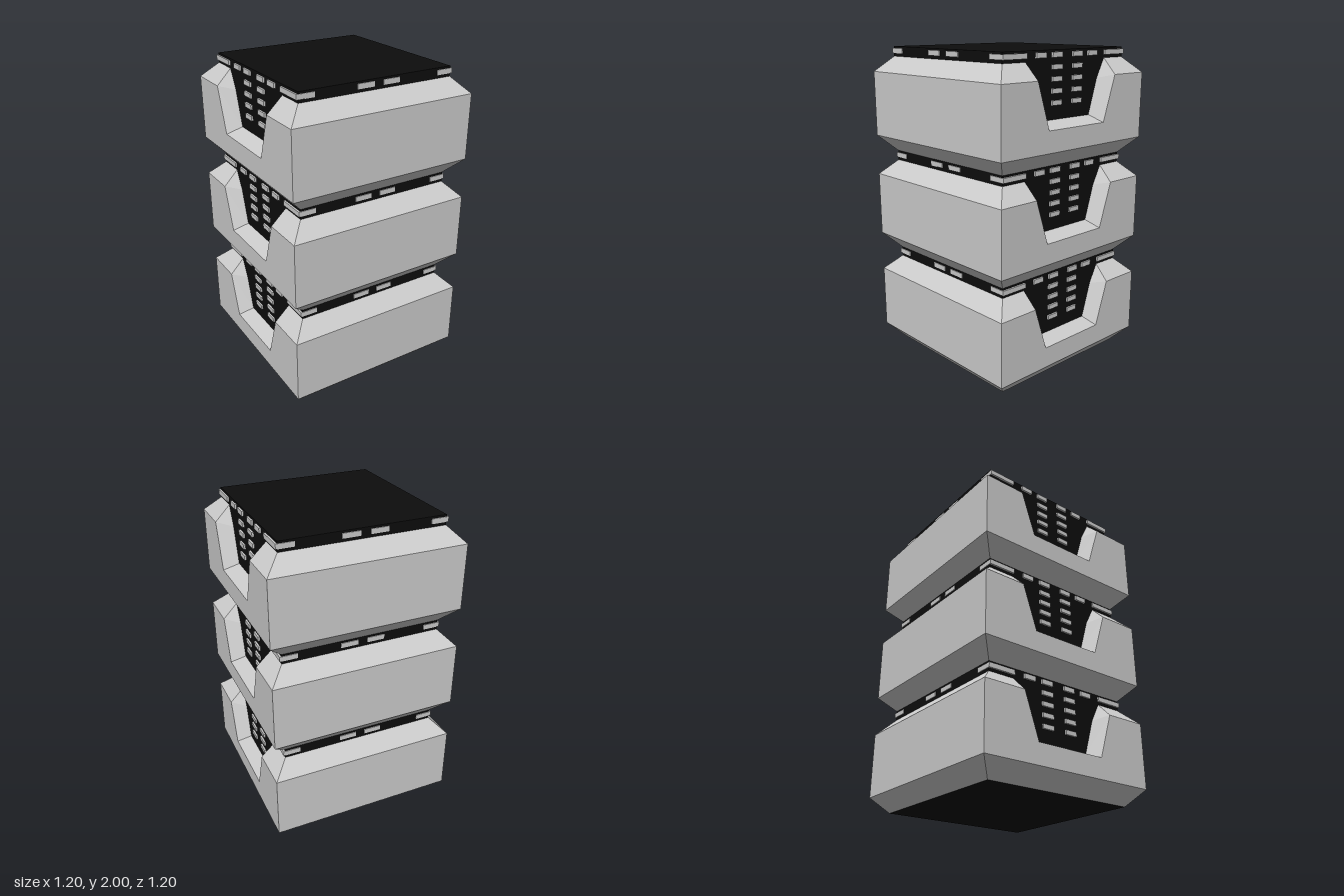
import * as THREE from 'three';

const PITCH = 2 / 3, CORE = 0.505, OUT = 0.6;
const grey = new THREE.MeshStandardMaterial({ color: 0xcccccc, flatShading: true });
const black = new THREE.MeshStandardMaterial({ color: 0x0d0d0d });

// Bevelled cladding of one tier: a quarter described as convex fans, mirrored to four quadrants
function claddingGeometry() {
  const profile = [[CORE, 0], [OUT, 0.1], [OUT, 0.51], [CORE, 0.605]];
  const rimOuter = [OUT, 0.51, 0.328], footOuter = [OUT, 0.23, 0.235];
  const rimInner = [CORE, 0.605, 0.333], kneeInner = [CORE, 0.487, 0.272], footInner = [CORE, 0.27, 0.205];
  const faces = [
    // side wall around the notch, lower and upper bevels
    [footOuter, rimOuter, [OUT, 0.51, OUT], [OUT, 0.1, OUT], [OUT, 0.1, 0], [OUT, 0.23, 0]],
    [[CORE, 0, CORE], [CORE, 0, 0], [OUT, 0.1, 0], [OUT, 0.1, OUT]],
    [[OUT, 0.51, OUT], rimOuter, rimInner, [CORE, 0.605, CORE]],
    // sloping notch walls and sill
    [rimOuter, footOuter, footInner, kneeInner],
    [rimOuter, kneeInner, rimInner],
    [footOuter, [OUT, 0.23, 0], [CORE, 0.27, 0], footInner],
  ];
  // front wall and bevels
  for (let i = 0; i < 3; i++) {
    const [r0, y0] = profile[i], [r1, y1] = profile[i + 1];
    faces.push([[0, y0, r0], [r0, y0, r0], [r1, y1, r1], [0, y1, r1]]);
  }
  const pos = [];
  for (const sx of [1, -1]) for (const sz of [1, -1]) for (const face of faces) {
    const f = face.map(([x, y, z]) => [x * sx, y, z * sz]);
    for (let i = 1; i < f.length - 1; i++) {
      const tri = sx * sz > 0 ? [f[0], f[i], f[i + 1]] : [f[0], f[i + 1], f[i]];
      pos.push(...tri.flat());
    }
  }
  const geo = new THREE.BufferGeometry();
  geo.setAttribute('position', new THREE.Float32BufferAttribute(pos, 3));
  geo.computeVertexNormals();
  return geo;
}

function addBox(parent, name, size, at) {
  const mesh = new THREE.Mesh(new THREE.BoxGeometry(...size), grey);
  mesh.position.set(...at);
  mesh.name = name;
  parent.add(mesh);
}

// Lit windows of one tier, mirrored about both axes
function createWindows() {
  const group = new THREE.Group();
  group.name = 'windows';
  const y = 0.639, h = 0.03, t = 0.03;
  for (const s of [1, -1]) for (const m of [1, -1]) {
    // front and back band: [inner, outer] spans along x
    for (const [a, b] of [[0.03, 0.14], [0.408, 0.516]])
      addBox(group, 'bandWindow', [b - a, h, t], [m * (a + b) / 2, y, s * (CORE + 0.005 - t / 2)]);
    // side band: spans along z
    for (const [a, b] of [[0.045, 0.127], [0.178, 0.258], [0.329, 0.509]])
      addBox(group, 'sideBandWindow', [t, h, b - a], [s * (CORE + 0.012 - t / 2), y, m * (a + b) / 2]);
    // stacked windows inside the notch
    for (let row = 1; row <= 4; row++)
      addBox(group, 'notchWindow', [t, 0.028, 0.082],
        [s * (CORE + 0.012 - t / 2), y - row * 0.068, m * 0.086]);
  }
  return group;
}

export function createModel() {
  const model = new THREE.Group();
  model.name = 'tower';

  // dark glazed core running the full height
  const core = new THREE.Mesh(new THREE.BoxGeometry(CORE * 2, 2, CORE * 2), black);
  core.position.y = 1;
  core.name = 'core';
  model.add(core);

  // three identical tiers
  const shell = claddingGeometry();
  for (let i = 0; i < 3; i++) {
    const tier = new THREE.Group();
    tier.name = 'tier' + (i + 1);
    tier.position.y = i * PITCH;
    const cladding = new THREE.Mesh(shell, grey);
    cladding.name = 'cladding';
    tier.add(cladding, createWindows());
    model.add(tier);
  }
  return model;
}
